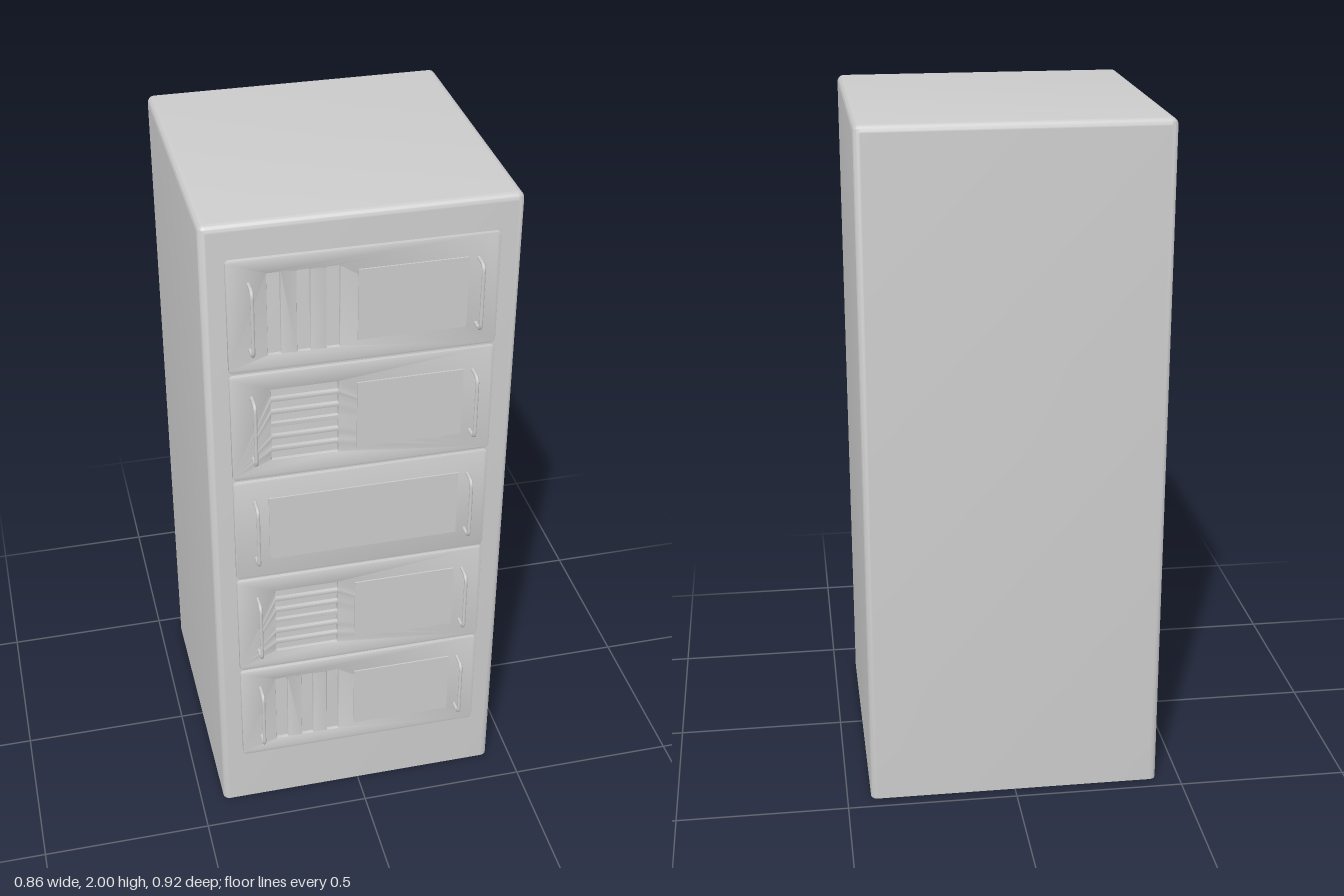
import * as THREE from 'three';
import { RoundedBoxGeometry } from 'three/addons/geometries/RoundedBoxGeometry.js';
import { toCreasedNormals } from 'three/addons/utils/BufferGeometryUtils.js';

const material = new THREE.MeshStandardMaterial({ color: 0xcccccc });
const FRONT = 0.4, PANEL_DEPTH = 0.01, PANEL_W = 0.732, PANEL_H = 0.335;

function addMesh(parent, name, geometry, x = 0, y = 0, z = 0) {
  const mesh = new THREE.Mesh(geometry, material);
  mesh.name = name;
  mesh.position.set(x, y, z);
  parent.add(mesh);
  return mesh;
}

// Rounded rectangle outline, used for panels and their slots
function roundedRect(target, x0, y0, x1, y1, r) {
  target.moveTo(x0 + r, y0);
  target.lineTo(x1 - r, y0).absarc(x1 - r, y0 + r, r, -Math.PI / 2, 0);
  target.lineTo(x1, y1 - r).absarc(x1 - r, y1 - r, r, 0, Math.PI / 2);
  target.lineTo(x0 + r, y1).absarc(x0 + r, y1 - r, r, Math.PI / 2, Math.PI);
  target.lineTo(x0, y0 + r).absarc(x0 + r, y0 + r, r, Math.PI, Math.PI * 1.5);
  return target;
}

// Cabinet: soft vertical and top edges, flat bottom
function cabinetGeometry() {
  const r = 0.02;
  const geometry = new RoundedBoxGeometry(0.86, 2 + r, 0.86, 4, r);
  geometry.translate(0, 1 - r / 2, -0.03);
  const p = geometry.attributes.position;
  for (let i = 0; i < p.count; i++) p.setY(i, Math.max(0, p.getY(i)));
  return toCreasedNormals(geometry, 0.7);
}

// Slot rectangles [x0, y0, x1, y1] relative to the panel centre
function slotRects(kind) {
  const rects = [];
  if (kind === 'vertical') {
    for (let i = 0; i < 3; i++) {
      const x = -0.26 + i * 0.079;
      rects.push([x, -0.12, x + 0.036, 0.122]);
    }
  } else if (kind === 'horizontal') {
    for (let i = 0; i < 6; i++) {
      const y = -0.112 + i * 0.04;
      rects.push([-0.256, y, -0.07, y + 0.027]);
    }
  }
  return rects;
}

function panelGeometry(kind) {
  const b = 0.002;
  const w = PANEL_W / 2 - b, h = PANEL_H / 2 - b;
  const shape = roundedRect(new THREE.Shape(), -w, -h, w, h, 0.01);
  for (const [x0, y0, x1, y1] of slotRects(kind)) {
    shape.holes.push(roundedRect(new THREE.Path(), x0 - b, y0 - b, x1 + b, y1 + b, 0.004));
  }
  const geometry = new THREE.ExtrudeGeometry(shape, {
    depth: PANEL_DEPTH - b, bevelThickness: b, bevelSize: b, bevelSegments: 2, curveSegments: 5,
  });
  return toCreasedNormals(geometry, 0.6);
}

// Pull handle: a bent rod with round corners
function handleGeometry() {
  const h = 0.098, out = 0.047, r = 0.022;
  const v = (y, z) => new THREE.Vector3(0, y, z);
  const path = new THREE.CurvePath();
  path.add(new THREE.LineCurve3(v(-h, 0), v(-h, out - r)));
  path.add(new THREE.QuadraticBezierCurve3(v(-h, out - r), v(-h, out), v(-h + r, out)));
  path.add(new THREE.LineCurve3(v(-h + r, out), v(h - r, out)));
  path.add(new THREE.QuadraticBezierCurve3(v(h - r, out), v(h, out), v(h, out - r)));
  path.add(new THREE.LineCurve3(v(h, out - r), v(h, 0)));
  return new THREE.TubeGeometry(path, 60, 0.005, 10);
}

export function createModel() {
  const model = new THREE.Group();
  model.name = 'rackCabinet';
  addMesh(model, 'cabinet', cabinetGeometry());

  // Five drawers, from top to bottom
  const kinds = ['vertical', 'horizontal', 'plain', 'horizontal', 'vertical'];
  const handle = handleGeometry();
  kinds.forEach((kind, i) => {
    const drawer = new THREE.Group();
    drawer.name = `drawer${i + 1}`;
    drawer.position.set(0, 1.735 - i * 0.345, FRONT);
    addMesh(drawer, 'frontPanel', panelGeometry(kind));

    // Thin raised plate, full width where there are no slots
    const x0 = kind === 'plain' ? -0.268 : -0.018, x1 = 0.28;
    addMesh(drawer, 'raisedPlate', new THREE.BoxGeometry(x1 - x0, 0.21, 0.008),
      (x0 + x1) / 2, 0, PANEL_DEPTH);

    for (const side of [-1, 1]) {
      addMesh(drawer, side > 0 ? 'leftHandle' : 'rightHandle', handle, side * 0.307, 0, 0.008);
    }
    model.add(drawer);
  });
  return model;
}
